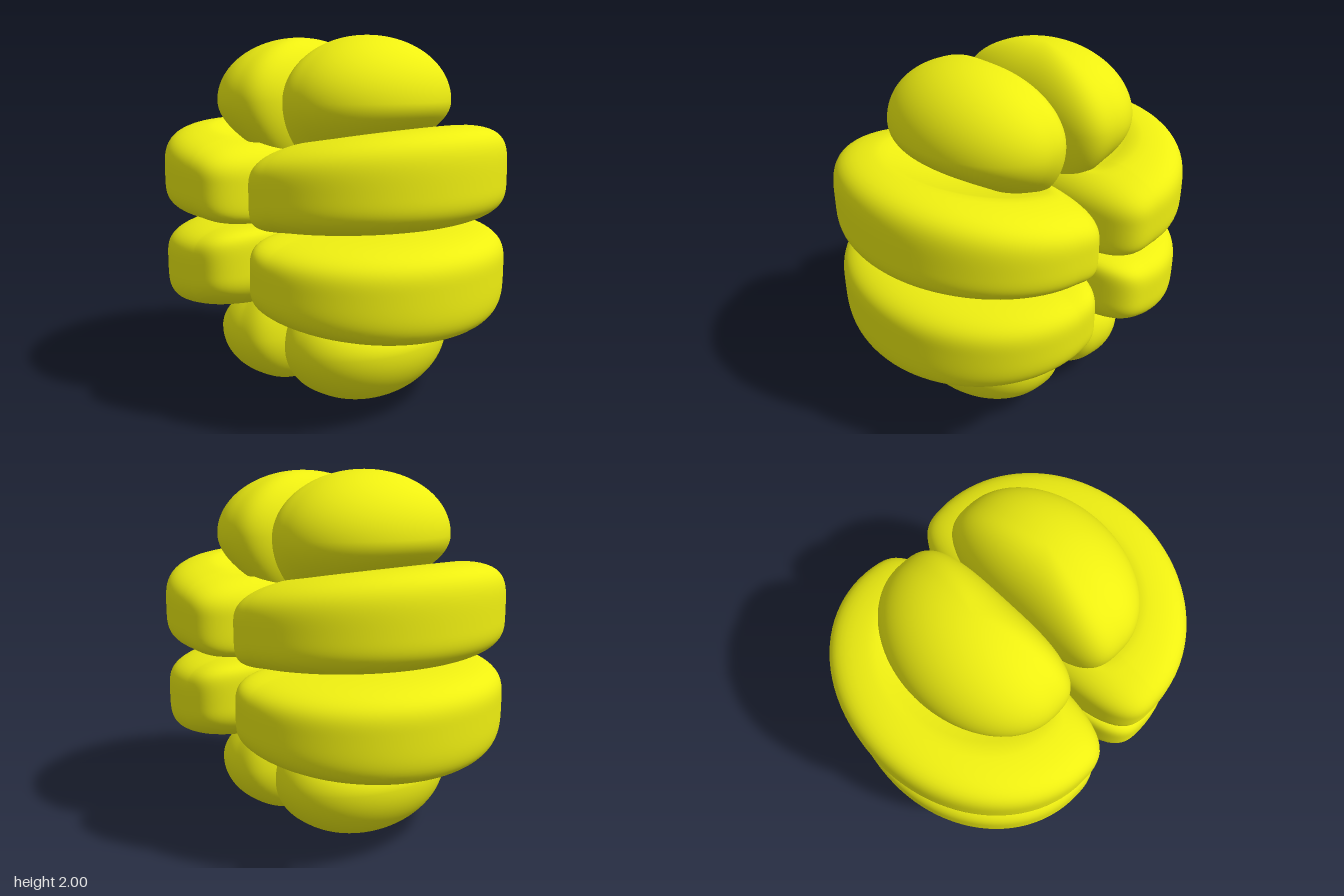
import * as THREE from 'three';
import { mergeVertices } from 'three/addons/utils/BufferGeometryUtils.js';

const material = new THREE.MeshStandardMaterial({ color: 0xeeee11 });

// Radius of a unit superellipse in the direction (a, b)
const superRadius = (a, b, p) => (Math.abs(a) ** p + Math.abs(b) ** p) ** (-1 / p);

// A rounded D-shaped lobe: a sphere reshaped by its plan and its upright profile.
// k runs from 0 on the outer side to 1 on the flat side facing x = 0.
function lobeGeometry({ cx, cy, outer, inner, depth, power, up, down, dip }) {
  const sphere = new THREE.SphereGeometry(1, 96, 64);
  sphere.deleteAttribute('uv');
  sphere.deleteAttribute('normal');
  const geometry = mergeVertices(sphere, 1e-5);
  const pos = geometry.attributes.position;
  for (let i = 0; i < pos.count; i++) {
    const dx = pos.getX(i), dy = pos.getY(i), dz = pos.getZ(i);
    const flat = Math.hypot(dx, dz);
    const c = flat > 1e-4 ? dx / flat : 0;
    const s = flat > 1e-4 ? dz / flat : 1;
    const k = (1 - c) / 2;
    const plan = superRadius(c, s, c < 0 ? 3.4 : 2);
    const profile = superRadius(flat, dy, power(k, dy > 0));
    const r = flat * profile;
    const x = cx + c * plan * r * (c < 0 ? inner : outer);
    const z = s * plan * r * depth;
    let y = cy + dy * profile * (dy > 0 ? up(x) : down(flat > 1e-4 ? k : 0.5));
    if (dy > 0) y -= dip * Math.max(0, 1 - (r / 0.65) ** 2);
    pos.setXYZ(i, x, y, z);
  }
  geometry.computeVertexNormals();
  return geometry;
}

export function createModel() {
  const model = new THREE.Group();
  model.name = 'lobedBall';

  // Heights are measured from the middle plane
  const lobes = {
    CapLobe: lobeGeometry({
      cx: 0.245, cy: 0.65, outer: 0.4, inner: 0.243, depth: 0.54,
      power: () => 2, up: () => 0.35, down: (k) => 0.2 + 0.3 * k, dip: 0,
    }),
    BandLobe: lobeGeometry({
      cx: 0.28, cy: 0.24, outer: 0.685, inner: 0.278, depth: 0.815,
      power: (k, top) => (top ? 4.5 - 2 * k : 3.5 + 4.5 * k * k),
      up: (x) => 0.2 + 0.15 * x, down: () => 0.236, dip: 0.1,
    }),
  };

  // Each lobe is symmetric front to back, so half turns act as mirrors
  for (const [name, geometry] of Object.entries(lobes)) {
    for (const lower of [false, true]) {
      for (const right of [false, true]) {
        const mesh = new THREE.Mesh(geometry, material);
        mesh.name = (lower ? 'lower' : 'upper') + (right ? 'Right' : 'Left') + name;
        mesh.position.y = 1;
        if (lower && right) mesh.rotation.z = Math.PI;
        else if (lower) mesh.rotation.x = Math.PI;
        else if (right) mesh.rotation.y = Math.PI;
        model.add(mesh);
      }
    }
  }
  return model;
}
